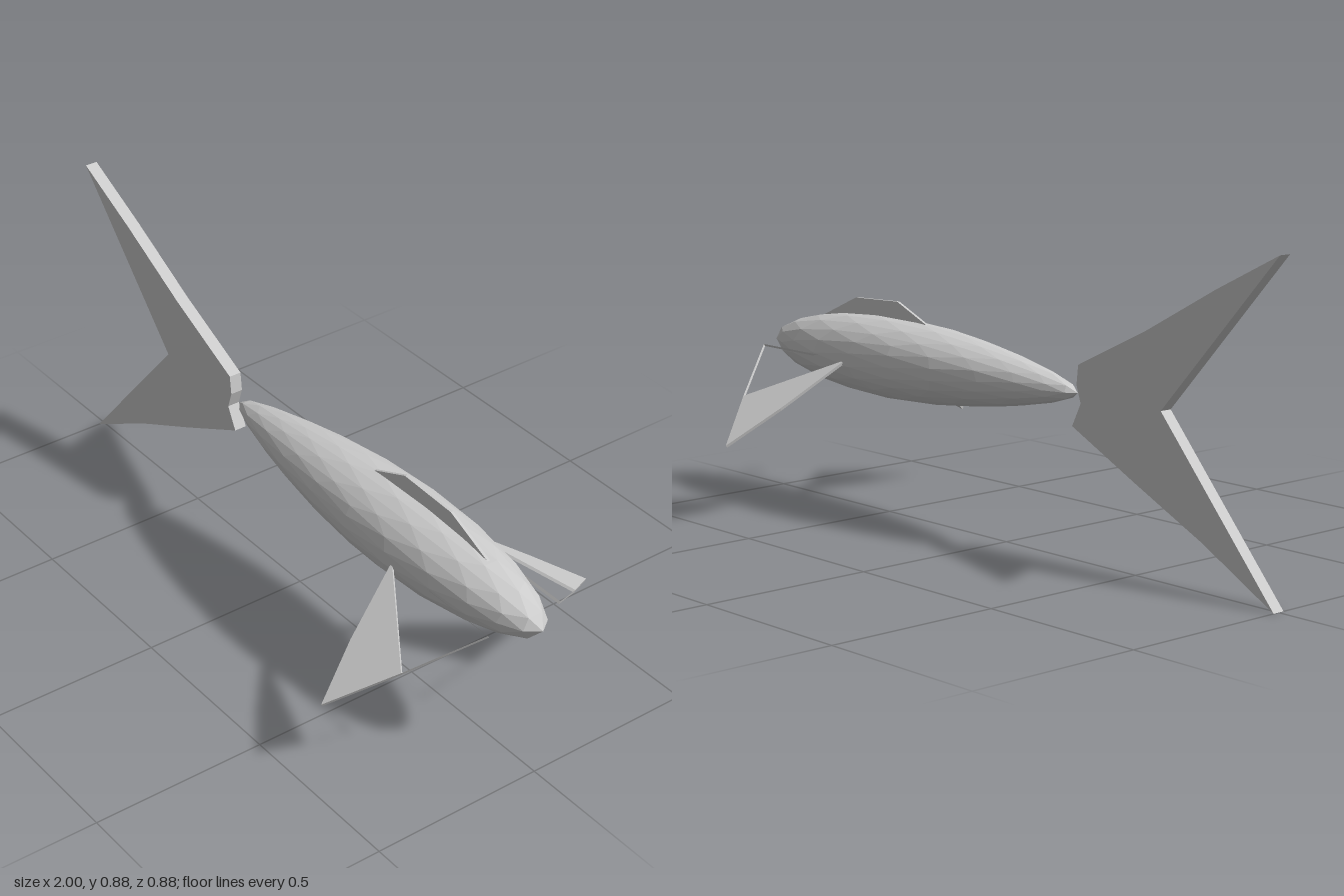
import * as THREE from 'three';

const grey = new THREE.MeshStandardMaterial({ color: 0xcccccc, flatShading: true });
const thin = new THREE.MeshStandardMaterial({ color: 0xcccccc, flatShading: true, side: THREE.DoubleSide });

// Flat plate from an outline, centred on z = 0
function plate(name, points, thickness) {
  const shape = new THREE.Shape(points.map(([x, y]) => new THREE.Vector2(x, y)));
  const geometry = new THREE.ExtrudeGeometry(shape, { depth: thickness, bevelEnabled: false });
  geometry.translate(0, 0, -thickness / 2);
  const mesh = new THREE.Mesh(geometry, grey);
  mesh.name = name;
  return mesh;
}

// Open ribbon that follows a line of points
function ribbon(name, points, thickness) {
  const positions = [], index = [];
  points.forEach(([x, y], i) => {
    positions.push(x, y, -thickness / 2, x, y, thickness / 2);
    if (i > 0) {
      const a = 2 * (i - 1);
      index.push(a, a + 2, a + 1, a + 1, a + 2, a + 3);
    }
  });
  const geometry = new THREE.BufferGeometry();
  geometry.setAttribute('position', new THREE.Float32BufferAttribute(positions, 3));
  geometry.setIndex(index);
  geometry.computeVertexNormals();
  const mesh = new THREE.Mesh(geometry, thin);
  mesh.name = name;
  return mesh;
}

// Faceted body: a stretched sphere, slimmer towards the tail
function makeBody() {
  const geometry = new THREE.IcosahedronGeometry(1, 3);
  const p = geometry.attributes.position;
  for (let i = 0; i < p.count; i++) {
    const u = p.getX(i);
    const taper = 1 + 0.25 * u - 0.18 * u * u;
    p.setXYZ(i, 0.36 + 0.64 * u, 0.45 + 0.112 * taper * p.getY(i), 0.126 * taper * p.getZ(i));
  }
  geometry.computeVertexNormals();
  const mesh = new THREE.Mesh(geometry, grey);
  mesh.name = 'body';
  return mesh;
}

// Side fin: a solid blade and the thin open rim running forward from it
function makeSideFin(side) {
  const fin = new THREE.Group();
  fin.name = side > 0 ? 'sideFinFront' : 'sideFinBack';
  fin.add(
    plate('finBlade', [[0.55, 0], [0.805, 0.205], [0.682, 0.392], [0.615, 0.22]], 0.008),
    ribbon('finRim', [[0.805, 0.205], [0.93, 0], [0.55, 0]], 0.008)
  );
  fin.position.set(0, 0.443, side * 0.115);
  fin.rotation.x = side * 2.174;
  return fin;
}

export function createModel() {
  const fish = new THREE.Group();
  fish.name = 'fish';
  fish.add(makeBody());

  // Forked tail
  fish.add(plate('tailFin', [
    [-1, 0.885], [-0.604, 0.45], [-1, 0], [-0.754, 0.134], [-0.51, 0.25], [-0.278, 0.364],
    [-0.31, 0.428], [-0.294, 0.476], [-0.3, 0.53], [-0.55, 0.65], [-0.79, 0.78]
  ], 0.036));

  // Back fin
  fish.add(plate('dorsalFin', [
    [0.32, 0.556], [0.36, 0.52], [0.76, 0.51], [0.8, 0.533], [0.64, 0.604], [0.455, 0.612]
  ], 0.008));

  for (const side of [1, -1]) fish.add(makeSideFin(side));
  return fish;
}
